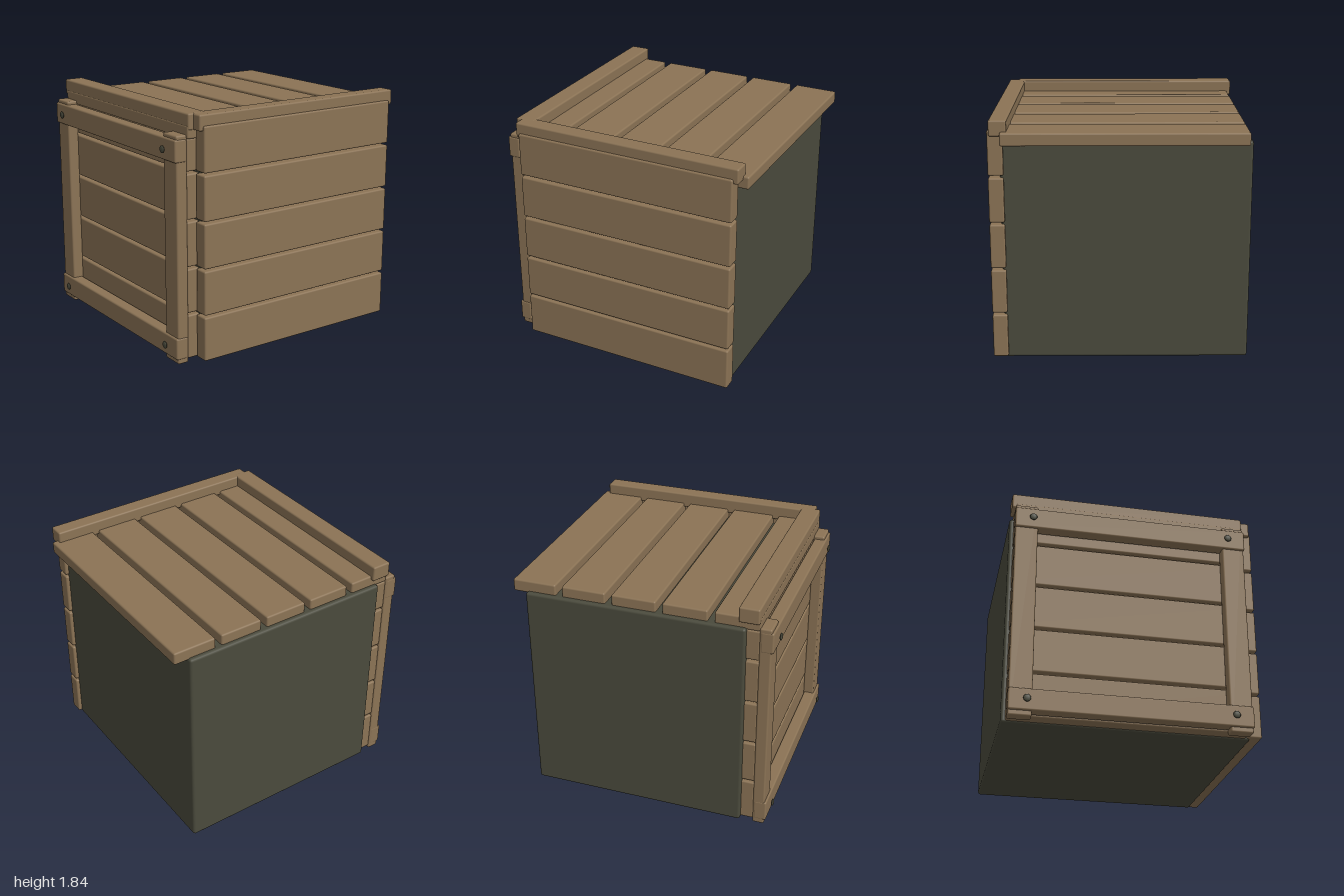
import * as THREE from 'three';
import { RoundedBoxGeometry } from 'three/addons/geometries/RoundedBoxGeometry.js';

export function createModel() {
  const crate = new THREE.Group();
  crate.name = 'crate';
  const wood = new THREE.MeshStandardMaterial({ color: 0x8b7355 });
  wood.name = 'wood';
  const dark = new THREE.MeshStandardMaterial({ color: 0x4a4a3c });
  dark.name = 'dark metal';

  // Softly bevelled block given by its limits on each axis
  function block(name, material, [x0, x1], [y0, y1], [z0, z1], bevel = 0.013) {
    const mesh = new THREE.Mesh(new RoundedBoxGeometry(x1 - x0, y1 - y0, z1 - z0, 2, bevel), material);
    mesh.position.set((x0 + x1) / 2, (y0 + y1) / 2, (z0 + z1) / 2);
    mesh.name = name;
    crate.add(mesh);
  }

  // Inner box, bare on the left of the picture, the back and the underside
  block('core', dark, [-0.952, 0.867], [0.015, 1.675], [-0.892, 0.775], 0.02);

  // Five planks each on the front, the side and the lid
  for (let i = 0; i < 5; i++) {
    const y = 0.03 + i * 0.349;
    const z = -1 + i * 0.385;
    block('frontPlank', wood, [-0.92, 0.835], [y, i === 4 ? 1.66 : y + 0.332], [0.76, 0.872]);
    block('sidePlank', wood, [0.84, 0.952], [y, y + 0.332], [-0.92, 0.802]);
    block('lidPlank', wood, [-0.918, 0.855], [1.66, 1.755], [z, z + 0.335]);
  }

  // Raised rim along the front and the side of the lid
  block('frontRim', wood, [-0.945, 0.86], [1.722, 1.84], [0.72, 0.872]);
  block('sideRim', wood, [0.808, 0.936], [1.722, 1.838], [-0.957, 0.83]);

  // Front frame: two posts with two rails across them
  for (const x of [-0.925, 0.667]) block('framePost', wood, [x, x + 0.17], [0.002, 1.69], [0.868, 0.957]);
  for (const y of [0.04, 1.5]) block('frameRail', wood, [-0.927, 0.843], [y, y + 0.163], [0.876, 0.972]);

  // Flattened bolts at the frame corners
  const boltShape = new THREE.SphereGeometry(0.028, 10, 8);
  for (const x of [-0.795, 0.705]) {
    for (const y of [0.122, 1.58]) {
      const bolt = new THREE.Mesh(boltShape, dark);
      bolt.name = 'bolt';
      bolt.scale.z = 0.35;
      bolt.position.set(x, y, 0.99);
      crate.add(bolt);
    }
  }
  return crate;
}
